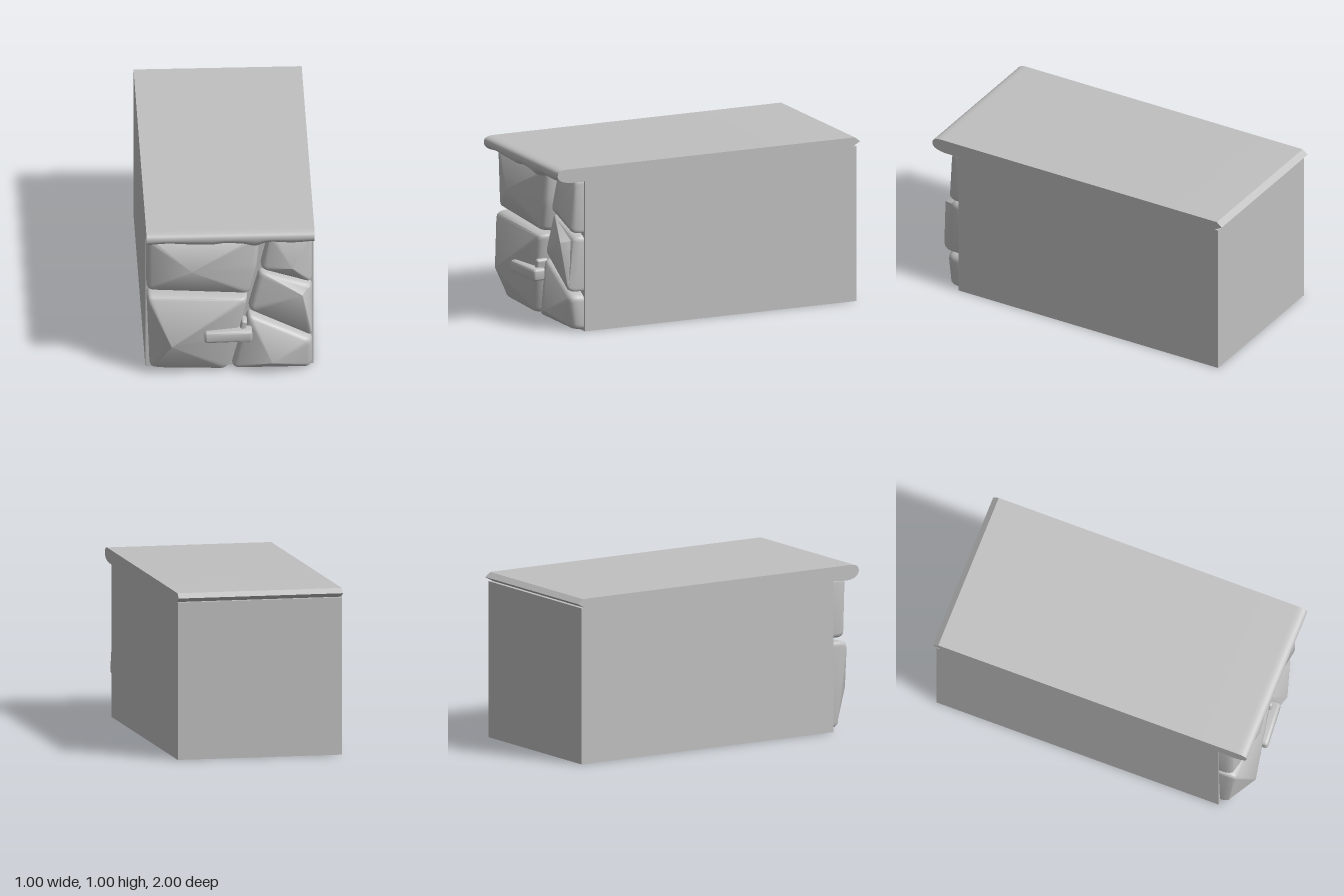
import * as THREE from 'three';
import { toCreasedNormals } from 'three/addons/utils/BufferGeometryUtils.js';
import { RoundedBoxGeometry } from 'three/addons/geometries/RoundedBoxGeometry.js';

const V = (p) => new THREE.Vector3(...p);

// Bevelled, faceted stone: counter-clockwise corners [x, y, z] and a peak
function stoneGeometry(corners, peak) {
  const pts = corners.map(V), top = V(peak), outline = [];
  pts.forEach((c, i) => {
    const toward = (q) => c.clone().add(q.clone().sub(c).setLength(0.03));
    const prev = pts[(i + pts.length - 1) % pts.length];
    const next = pts[(i + 1) % pts.length];
    outline.push(...new THREE.QuadraticBezierCurve3(toward(prev), c, toward(next)).getPoints(4));
  });
  // Rings from the wall outwards: [inset, drop below the corner height]
  const rings = [[0, null], [0, 0.05], [0.006, 0.025], [0.016, 0.009], [0.035, 0]];
  const n = outline.length, pos = [], index = [];
  for (const [inset, drop] of rings) {
    for (const p of outline) {
      const d = new THREE.Vector2(top.x - p.x, top.y - p.y).setLength(inset);
      pos.push(p.x + d.x, p.y + d.y, drop === null ? 0.81 : Math.max(0.815, p.z - drop));
    }
  }
  pos.push(...peak);
  for (let i = 0; i < n; i++) {
    const j = (i + 1) % n;
    for (let r = 0; r < rings.length - 1; r++) {
      const a = r * n, b = a + n;
      index.push(a + i, a + j, b + j, a + i, b + j, b + i);
    }
    const last = (rings.length - 1) * n;
    index.push(last + i, last + j, rings.length * n);
  }
  const geo = new THREE.BufferGeometry();
  geo.setAttribute('position', new THREE.Float32BufferAttribute(pos, 3));
  geo.setIndex(index);
  return toCreasedNormals(geo, 0.6);
}

// Top slab with a rolled front lip whose lower edge sags unevenly
function slabGeometry() {
  const s = new THREE.Shape();
  s.moveTo(0.95, 0.945);
  s.lineTo(-0.82, 0.945);
  s.lineTo(-0.82, 0.915);
  s.lineTo(-0.91, 0.912);
  s.bezierCurveTo(-0.97, 0.915, -1, 0.935, -1, 0.962);
  s.bezierCurveTo(-1, 0.99, -0.98, 1, -0.93, 1);
  s.lineTo(0.965, 1);
  s.lineTo(1, 0.973);
  s.closePath();
  const geo = new THREE.ExtrudeGeometry(s, { depth: 1, steps: 60, bevelEnabled: false, curveSegments: 10 });
  geo.rotateY(Math.PI / 2).translate(-0.5, 0, 0);
  const p = geo.attributes.position;
  const bump = (x, c, w) => Math.exp(-(((x - c) / w) ** 2));
  for (let i = 0; i < p.count; i++) {
    const x = p.getX(i), y = p.getY(i);
    if (p.getZ(i) < 0.83 || y > 0.96) continue;
    const sag = 0.014 * bump(x, -0.11, 0.06) + 0.024 * bump(x, 0.15, 0.05) + 0.005 * Math.sin(x * 21);
    p.setY(i, y - sag * Math.min(1, (0.96 - y) / 0.04));
  }
  return toCreasedNormals(geo, 0.6);
}

export function createModel() {
  const group = new THREE.Group();
  const stone = new THREE.MeshStandardMaterial({ color: 0xc0c0c0 });
  stone.name = 'grey stone';
  const add = (name, geo) => {
    const mesh = new THREE.Mesh(geo, stone);
    mesh.name = name;
    group.add(mesh);
    return mesh;
  };

  // Plain block and slab
  add('block', new THREE.BoxGeometry(1, 0.945, 1.795).translate(0, 0.4725, -0.0775));
  add('topSlab', slabGeometry());

  // Facing stones
  const stones = {
    upperLeftStone: [[[-0.495, 0.565, 0.91], [0.12, 0.537, 0.92], [0.162, 0.72, 0.92],
      [0.18, 0.93, 0.91], [-0.495, 0.93, 0.92]], [-0.23, 0.735, 0.985]],
    lowerLeftStone: [[[-0.475, 0.015, 0.88], [-0.4, 0.01, 0.89], [-0.012, 0.01, 0.9],
      [0.06, 0.28, 0.93], [0.108, 0.515, 0.93], [-0.495, 0.543, 0.93]], [-0.35, 0.23, 1]],
    upperRightStone: [[[0.18, 0.69, 0.9], [0.49, 0.59, 0.9],
      [0.49, 0.93, 0.88], [0.235, 0.93, 0.88]], [0.37, 0.72, 0.94]],
    middleRightStone: [[[0.108, 0.41, 0.9], [0.49, 0.235, 0.93],
      [0.49, 0.575, 0.89], [0.175, 0.665, 0.88]], [0.43, 0.54, 0.95]],
    lowerRightStone: [[[0.01, 0.01, 0.89], [0.49, 0.01, 0.89],
      [0.49, 0.21, 0.91], [0.11, 0.385, 0.9]], [0.25, 0.09, 0.97]],
  };
  for (const [name, [corners, peak]] of Object.entries(stones)) add(name, stoneGeometry(corners, peak));

  // Small sliver of rock bridging the lower stones, with a chip above it
  const sliver = new RoundedBoxGeometry(0.285, 0.078, 0.09, 4, 0.018);
  const p = sliver.attributes.position;
  for (let i = 0; i < p.count; i++) {
    const x = p.getX(i);
    p.setY(i, p.getY(i) * (1 + 0.06 * Math.cos(x * 26)) - 0.02 * x);
    p.setZ(i, p.getZ(i) - 0.08 * x);
  }
  sliver.computeVertexNormals();
  add('sliver', toCreasedNormals(sliver, 0.7)).position.set(-0.012, 0.28, 0.942);
  const chip = add('chip', new RoundedBoxGeometry(0.036, 0.06, 0.08, 3, 0.014));
  chip.position.set(0.08, 0.335, 0.9);
  chip.rotation.z = -0.2;

  return group;
}
